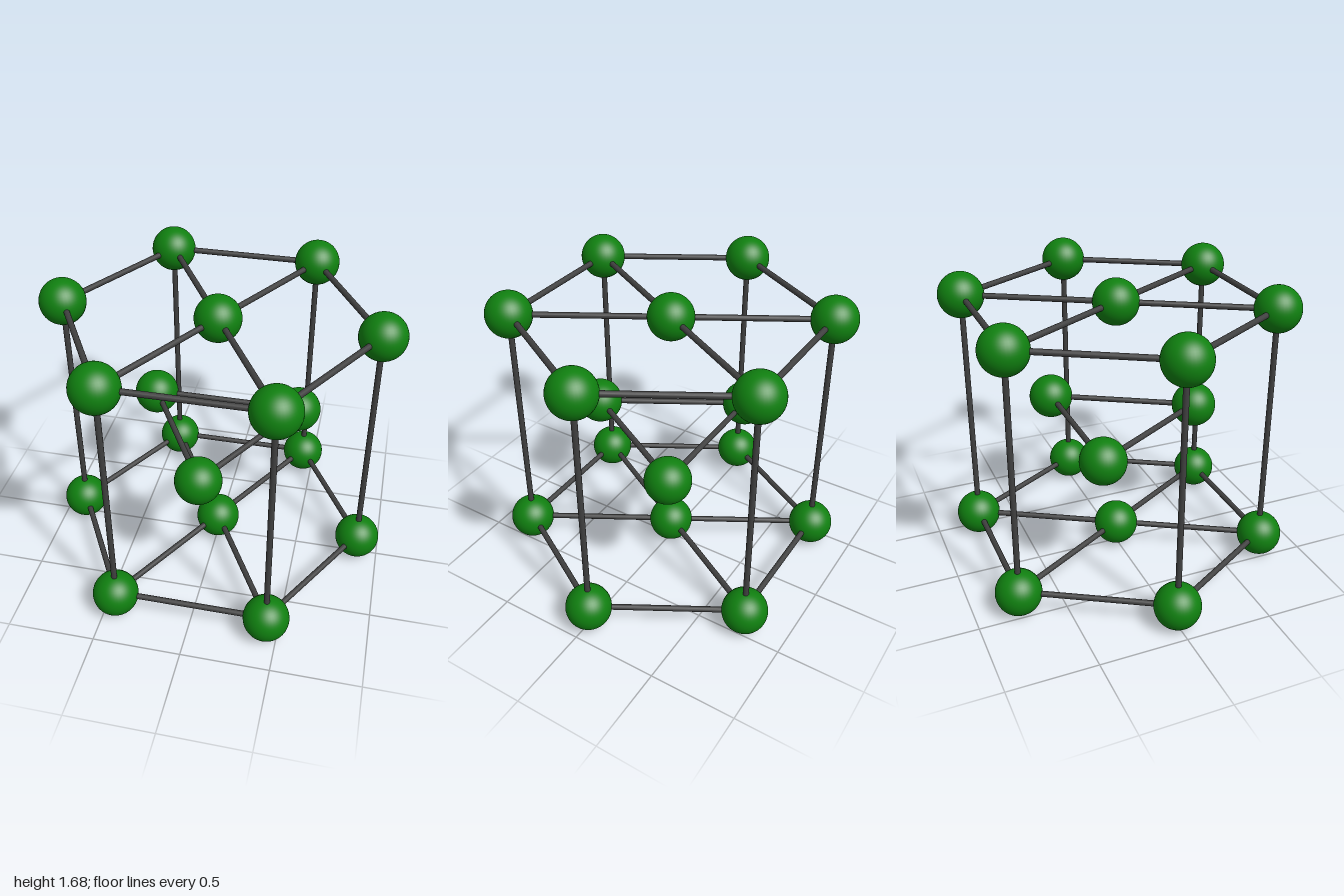
import * as THREE from 'three';

const BALL_R = 0.13, ROD_R = 0.0165, SPACING = 0.87;
const LOW = 0.13, MID = 0.843, HIGH = 1.555;

export function createModel() {
  const model = new THREE.Group();
  model.name = 'hexagonalLattice';
  const green = new THREE.MeshStandardMaterial({ color: 0x108010 });
  green.name = 'ball green';
  const grey = new THREE.MeshStandardMaterial({ color: 0x404040 });
  grey.name = 'rod grey';

  const ballGeometry = new THREE.SphereGeometry(BALL_R, 40, 28);
  const up = new THREE.Vector3(0, 1, 0);

  const addBall = (name, p) => {
    const ball = new THREE.Mesh(ballGeometry, green);
    ball.name = name;
    ball.position.copy(p);
    model.add(ball);
  };

  // Rod between two ball centres
  const addRod = (name, a, b) => {
    const dir = b.clone().sub(a);
    const rod = new THREE.Mesh(new THREE.CylinderGeometry(ROD_R, ROD_R, dir.length(), 16), grey);
    rod.name = name;
    rod.position.copy(a).add(b).multiplyScalar(0.5);
    rod.quaternion.setFromUnitVectors(up, dir.normalize());
    model.add(rod);
  };

  // Points evenly spaced on a horizontal circle
  const ring = (count, radius, y, start) => Array.from({ length: count }, (_, i) => {
    const t = start + (i * 2 * Math.PI) / count;
    return new THREE.Vector3(radius * Math.cos(t), y, radius * Math.sin(t));
  });
  const addLoop = (name, points) => points.forEach((p, i) => {
    addBall(name + 'Ball', p);
    addRod(name + 'Rod', p, points[(i + 1) % points.length]);
  });

  // Bottom and top hexagons, with four spokes each to the centre ball
  const [lower, upper] = [['bottom', LOW], ['top', HIGH]].map(([name, y]) => {
    const corners = ring(6, SPACING, y, 0);
    const centre = new THREE.Vector3(0, y, 0);
    addLoop(name + 'Hexagon', corners);
    addBall(name + 'CentreBall', centre);
    [1, 2, 4, 5].forEach((i) => addRod(name + 'Spoke', centre, corners[i]));
    return corners;
  });

  // Upright rods at the six corners
  lower.forEach((p, i) => addRod('uprightRod', p, upper[i]));

  // Floating middle triangle, one ball towards the front
  addLoop('middleTriangle', ring(3, SPACING / Math.sqrt(3), MID, Math.PI / 2));

  return model;
}
